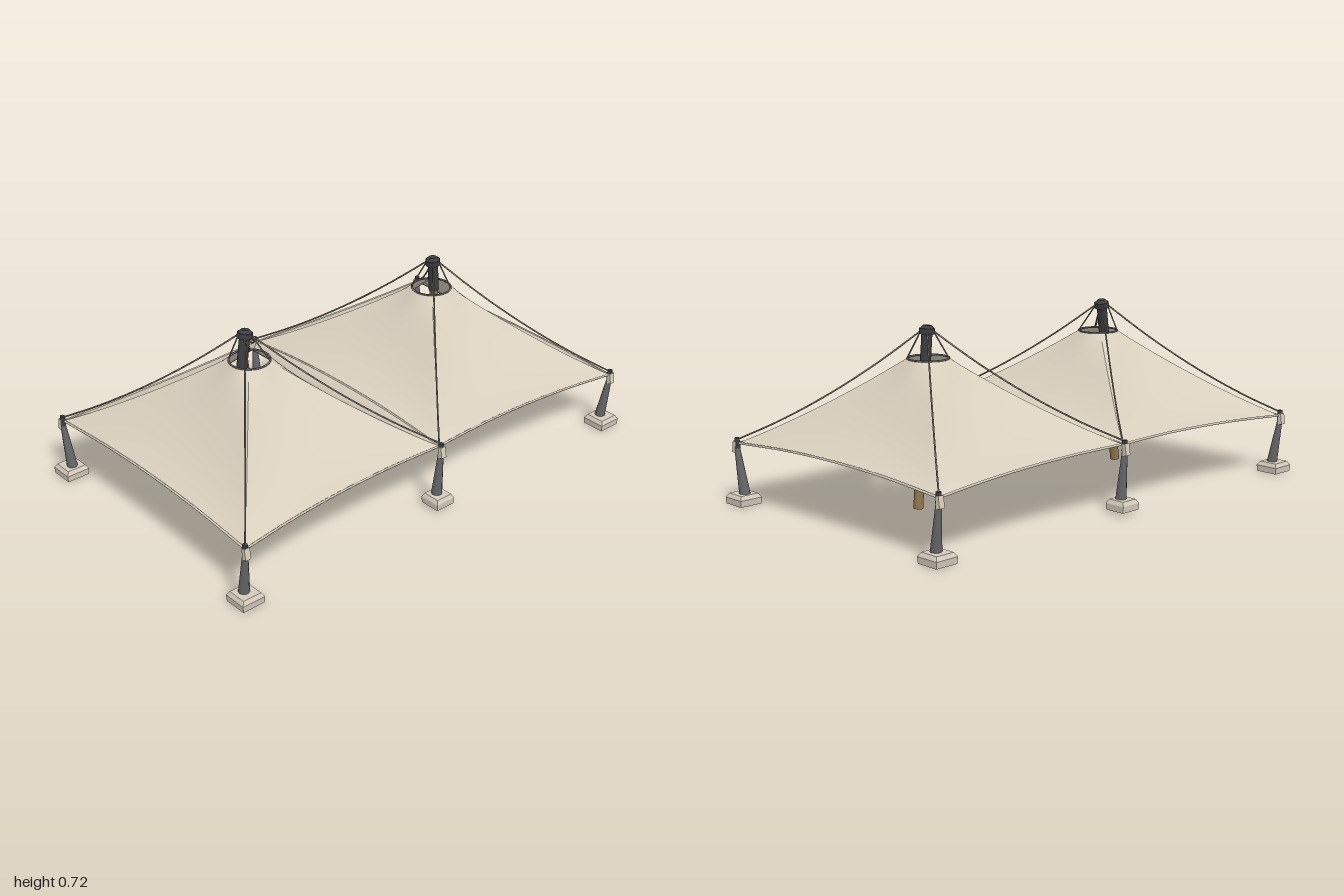
import * as THREE from 'three';

const V = (x, y, z) => new THREE.Vector3(x, y, z);
const mat = (name, color, side = THREE.FrontSide) => {
  const m = new THREE.MeshStandardMaterial({ color, side });
  m.name = name;
  return m;
};

export function createModel() {
  const canvas = mat('canvas', 0xd8cebd, THREE.DoubleSide);
  const concrete = mat('concrete', 0xd3cabb);
  const steel = mat('steel', 0x66666a);
  const darkSteel = mat('dark steel', 0x3d3d42);
  const wood = mat('wood', 0x8f7650);
  const rope = mat('rope', 0x857c6e);

  const model = new THREE.Group();
  model.name = 'doublePeakCanopy';

  const add = (parent, name, geometry, material) => {
    const mesh = new THREE.Mesh(geometry, material);
    mesh.name = name;
    parent.add(mesh);
    return mesh;
  };

  // Tapered round bar from a to b
  const rod = (parent, name, a, b, ra, rb, material, sides = 12) => {
    const dir = b.clone().sub(a);
    const mesh = add(parent, name, new THREE.CylinderGeometry(rb, ra, dir.length(), sides), material);
    mesh.position.copy(a).add(b).multiplyScalar(0.5);
    mesh.quaternion.setFromUnitVectors(V(0, 1, 0), dir.normalize());
    return mesh;
  };

  const tube = (parent, name, points, radius, material) =>
    add(parent, name, new THREE.TubeGeometry(new THREE.CatmullRomCurve3(points), 20, radius, 5), material);

  // Point on a canopy edge from a to b, bowed by the vector bow
  const edgePoint = (a, b, bow, u) => a.clone().lerp(b, u).addScaledVector(bow, 4 * u * (1 - u));

  // One fabric face between two ridges, from the ring down to its edge
  const fabricFace = (centre, radius, a, b, bow) => {
    const nu = 16, ns = 14, pos = [], idx = [];
    const angle = (p) => Math.atan2(p.z - centre.z, p.x - centre.x);
    const a0 = angle(a);
    let da = angle(b) - a0;
    if (da > Math.PI) da -= 2 * Math.PI;
    if (da < -Math.PI) da += 2 * Math.PI;
    for (let i = 0; i <= nu; i++) {
      const u = i / nu, t = a0 + da * u;
      const top = V(centre.x + radius * Math.cos(t), centre.y, centre.z + radius * Math.sin(t));
      const foot = edgePoint(a, b, bow, u);
      for (let j = 0; j <= ns; j++) {
        const s = j / ns;
        const p = top.clone().lerp(foot, s);
        p.y -= 4 * s * (1 - s) * (0.018 + 0.032 * 4 * u * (1 - u));
        pos.push(p.x, p.y, p.z);
        if (i < nu && j < ns) {
          const k = i * (ns + 1) + j, n = k + ns + 1;
          idx.push(k, n, k + 1, n, n + 1, k + 1);
        }
      }
    }
    const g = new THREE.BufferGeometry();
    g.setAttribute('position', new THREE.Float32BufferAttribute(pos, 3));
    g.setIndex(idx);
    g.computeVertexNormals();
    return g;
  };

  for (const side of [1, -1]) {
    const tent = new THREE.Group();
    tent.name = side > 0 ? 'frontTent' : 'backTent';
    model.add(tent);

    const ringRadius = 0.08;
    const centre = V(0.008, 0.588, side * 0.475);
    const outerL = V(0.582, 0.24, side * 0.957), outerR = V(-0.582, 0.24, side * 0.957);
    const midL = V(0.562, 0.268, 0), midR = V(-0.562, 0.268, 0);
    const edges = [
      ['outer', outerL, outerR, V(0, 0.024, -side * 0.008)],
      ['right', outerR, midR, V(0.022, 0.008, 0)],
      ['valley', midR, midL, V(0, 0.034, 0)],
      ['left', midL, outerL, V(-0.022, 0.008, 0)],
    ];

    // Fabric faces with a rolled hem
    for (const [name, a, b, bow] of edges) {
      // Same winding on both tents so the outside faces up
      const [p, q] = side > 0 ? [b, a] : [a, b];
      add(tent, name + 'Fabric', fabricFace(centre, ringRadius, p, q, bow), canvas);
      const pts = [0, 0.25, 0.5, 0.75, 1].map((u) => edgePoint(a, b, bow, u));
      tube(tent, name + 'Hem', pts, 0.005, canvas);
    }

    // Ring around the opening at the peak
    const ring = add(tent, 'peakRing', new THREE.TorusGeometry(ringRadius, 0.004, 6, 32), steel);
    ring.rotation.x = Math.PI / 2;
    ring.position.copy(centre);

    // Leaning mast: wooden lower part, steel head and cap
    const foot = side > 0 ? V(0.034, 0.008, 0.617) : V(-0.004, 0.012, -0.545);
    const head = V(0, 0.695, side * 0.487);
    const joint = foot.clone().lerp(head, 0.81);
    rod(tent, 'mastPole', foot, joint, 0.019, 0.018, wood, 16);
    rod(tent, 'mastHead', joint, head, 0.021, 0.021, darkSteel, 16);
    const up = head.clone().sub(foot).normalize();
    rod(tent, 'mastCap', head.clone().addScaledVector(up, -0.012),
      head.clone().addScaledVector(up, 0.01), 0.031, 0.031, darkSteel, 12);
    rod(tent, 'mastCapTop', head.clone().addScaledVector(up, 0.01),
      head.clone().addScaledVector(up, 0.022), 0.028, 0.016, darkSteel, 12);

    // Ridge cables to the corners and hangers to the ring
    for (const corner of [outerL, outerR, midL, midR]) {
      const dir = corner.clone().sub(centre).setY(0).normalize();
      const start = head.clone().addScaledVector(dir, 0.024);
      const end = corner.clone().add(V(0, 0.016, 0));
      const pts = [0, 0.2, 0.4, 0.6, 0.8, 1].map((s) => {
        const p = start.clone().lerp(end, s);
        p.y -= 4 * s * (1 - s) * 0.034;
        return p;
      });
      tube(tent, 'ridgeCable', pts, 0.0035, rope);
      rod(tent, 'ringHanger', start, centre.clone().addScaledVector(dir, ringRadius), 0.003, 0.003, rope, 5);
    }
  }

  // Six anchor posts on concrete footings
  for (const sx of [1, -1]) {
    for (const z of [0.95, 0, -0.95]) {
      const mid = z === 0;
      const post = new THREE.Group();
      post.name = (sx > 0 ? 'left' : 'right') + (mid ? 'Middle' : z > 0 ? 'Front' : 'Back') + 'Post';
      model.add(post);
      const lift = mid ? 0.012 : 0;
      const topX = sx * (mid ? 0.574 : 0.584), topZ = z * 1.01;

      // Square footing with a sloped upper part
      const r = Math.SQRT1_2;
      const size = mid ? 0.09 : 0.1;
      const block = (name, low, high, y, h) => {
        const g = new THREE.CylinderGeometry(high * r, low * r, h, 4).toNonIndexed();
        g.rotateY(Math.PI / 4);
        g.computeVertexNormals();
        add(post, name, g, concrete).position.set(sx * 0.565, y + lift + h / 2, z);
      };
      block('footing', size * 0.96, size, 0, 0.026);
      block('footingTop', size, size * 0.8, 0.026, 0.016);

      // Tapered post, canvas corner strap and clamp
      const top = V(topX, 0.22 + lift * 2, topZ);
      rod(post, 'shaft', V(sx * 0.557, 0.038 + lift, z), top, 0.022, 0.011, steel, 10);
      rod(post, 'clamp', top, top.clone().add(V(0, 0.042, 0)), 0.012, 0.01, darkSteel, 8);
      const strap = add(post, 'cornerStrap', new THREE.BoxGeometry(0.018, 0.045, 0.024), canvas);
      strap.position.set(topX + sx * 0.006, 0.226 + lift * 2, topZ);
      strap.rotation.z = sx * 0.15;
    }
  }

  return model;
}
